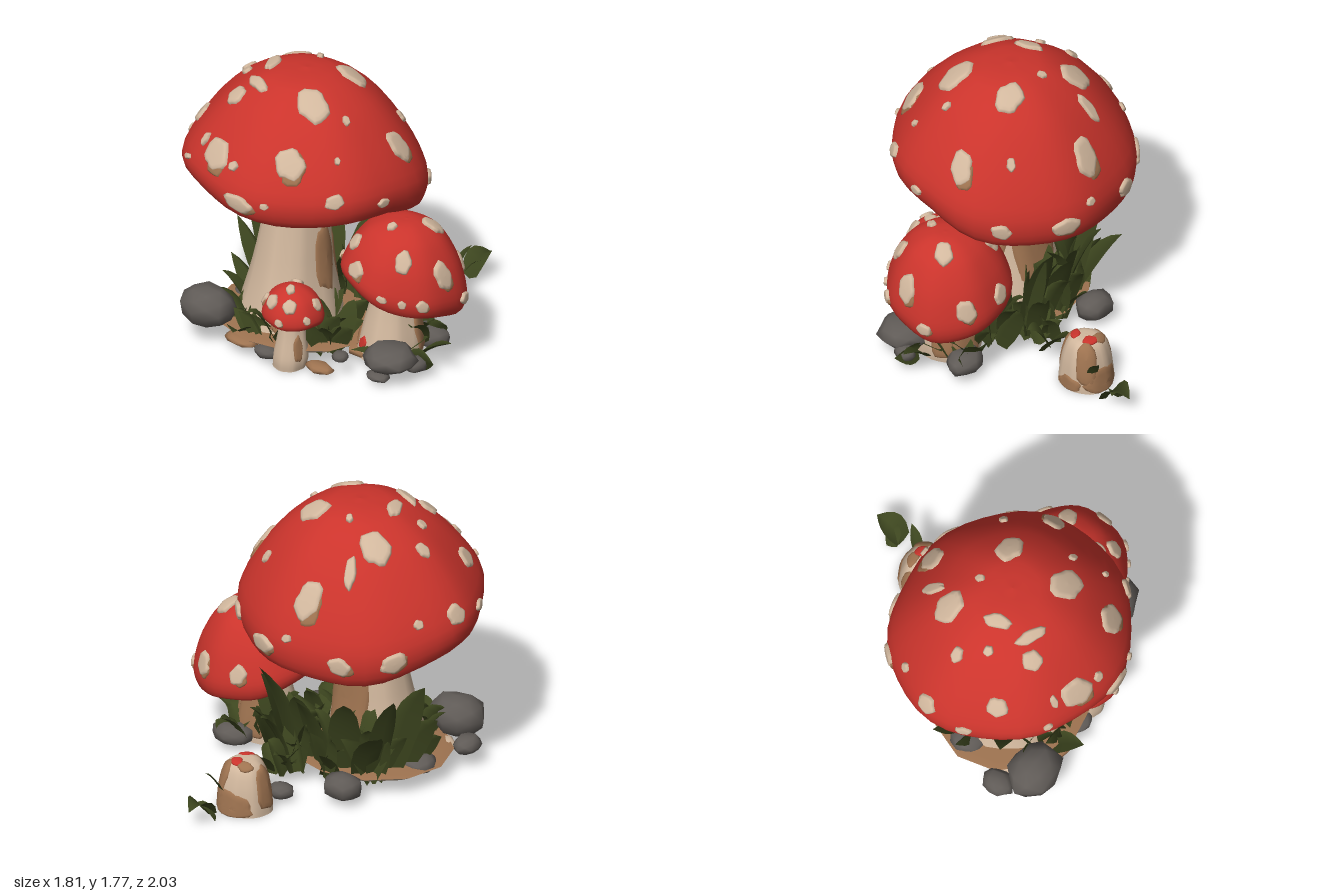
import * as THREE from 'three';
import { mergeGeometries, mergeVertices } from 'three/addons/utils/BufferGeometryUtils.js';
import { ParametricGeometry } from 'three/addons/geometries/ParametricGeometry.js';

const material = (name, color, side = THREE.FrontSide) =>
  Object.assign(new THREE.MeshStandardMaterial({ color, side }), { name });
const TAU = Math.PI * 2;

export function createModel() {
  const red = material('cap red', 0xcb342c);
  const cream = material('flesh cream', 0xd2b89e);
  const brown = material('earthy brown', 0x9e7350);
  const green = material('grass green', 0x3d461f, THREE.DoubleSide);
  const gray = material('stone gray', 0x605b57);

  const model = new THREE.Group();
  model.name = 'mushroomCluster';
  let seed = 7;
  const rand = (a = 0, b = 1) => {
    seed = (seed * 16807) % 2147483647;
    return a + (b - a) * (seed / 2147483647);
  };
  const add = (name, geometry, mat, parent = model) => {
    const mesh = new THREE.Mesh(geometry, mat);
    mesh.name = name;
    parent.add(mesh);
  };
  const surface = (f, slices, stacks) =>
    new ParametricGeometry((u, v, t) => t.copy(f(u, v)), slices, stacks);
  const spline = (pts) => new THREE.SplineCurve(pts.map(([x, y]) => new THREE.Vector2(x, y)));

  // Thin raised patch whose border sinks into a surface; place(dx, dy) gives surface coordinates
  const patch = (f, place, rx, ry, lift) => {
    const p1 = rand(0, 6), p2 = rand(0, 6);
    return surface((s, k) => {
      const a = s * TAU, rho = Math.max(1 - k * k, 0.002);
      const w = rho * (1 + 0.1 * Math.sin(2 * a + p1) + 0.08 * Math.sin(5 * a + p2));
      const [u, v0] = place(rx * w * Math.cos(a), ry * w * Math.sin(a));
      const v = THREE.MathUtils.clamp(v0, 0.002, 0.995), e = 0.002;
      const p = f(u, v);
      const n = f(u + e, v).sub(f(u - e, v)).cross(f(u, v + e).sub(f(u, v - e))).normalize();
      return p.addScaledVector(n, lift * (1 - 1.4 * rho ** 12));
    }, 16, 5);
  };

  // Cap with a tilted wavy rim, gills below and raised spots; tilt = [x, front, back]
  function cap(parent, { x, z, profile, tilt, lean, wave, flick, stemR, stemY, spots }) {
    const curve = spline(profile), length = curve.getLength();
    const f = (u, v) => {
      const p = curve.getPoint(THREE.MathUtils.clamp(v, 0, 1)), a = u * TAU, low = 1 - Math.min(v, 1);
      const r = p.x * (1 + 0.014 * Math.sin(3 * a + 1) + 0.012 * Math.sin(7 * a));
      const px = r * Math.sin(a), pz = r * Math.cos(a) * 0.965;
      const raise = wave * Math.sin(4 * a + 2.4) + flick * Math.max(0, Math.cos(a + 0.65)) ** 8;
      return new THREE.Vector3(x + px + lean[0] * v,
        p.y + low * (tilt[0] * px + (pz > 0 ? tilt[1] : tilt[2]) * pz) + low * low * raise, z + pz + lean[1] * v);
    };
    add('cap', surface(f, 40, 18), red, parent);

    // Gills, stained to a random distance from the stem
    const gill = (u, w) => {
      const a = u * TAU, rim = f(u, 0);
      const p = new THREE.Vector3(x + stemR * Math.sin(a), stemY, z + stemR * Math.cos(a)).lerp(rim, w);
      p.y += Math.sin(Math.PI * w) * stemR * (0.25 + 0.1 * Math.sin(a * 18));
      return p;
    };
    const pale = [], dark = [], n = 36;
    for (let k = 0; k < n; k++) {
      const split = rand(0.12, 0.6);
      dark.push(surface((u, w) => gill((k + u) / n, w * split), 2, 3));
      pale.push(surface((u, w) => gill((k + u) / n, split + w * (1 - split)), 2, 4));
    }
    add('gills', mergeGeometries(pale), cream, parent);
    add('darkGills', mergeGeometries(dark), brown, parent);

    const widest = Math.max(...profile.map((p) => p[0])), discs = [], edges = [];
    for (const [sx, sz, rx, ry = rx] of spots) {
      const r = Math.hypot(sx, sz), u0 = Math.atan2(sx, sz) / TAU;
      let v = 0.995;
      while (v > 0.31 && curve.getPoint(v).x < r) v -= 0.005;
      const s0 = (1 - v) * length, stretch = s0 / curve.getPoint(v).x;
      const place = (shiftX, shiftY) => (dx, dy) => {
        const along = s0 - dy - shiftY, across = (dx + shiftX) * stretch;
        return [u0 + Math.atan2(across, along) / TAU, 1 - Math.hypot(along, across) / length];
      };
      discs.push(patch(f, place(0, 0), rx, ry * 0.92, 0.018));
      // Stained lower edge of the larger spots near the rim
      if (r > widest * 0.8 && rx > widest * 0.1) edges.push(patch(f, place(0.25 * rx, -0.25 * rx), rx * 0.88, ry * 0.88, 0.009));
    }
    add('capSpots', mergeGeometries(discs), cream, parent);
    if (edges.length) add('spotEdges', mergeGeometries(edges), brown, parent);
  }

  // Leaning stem with stained patches [angle, height fraction, width, height, material]
  function stem(parent, { foot, top, profile, stains }) {
    const curve = spline(profile), rise = top[1] - foot[1];
    const f = (u, v) => {
      const p = curve.getPoint(THREE.MathUtils.clamp(v, 0, 1)), a = u * TAU;
      const r = p.x * (1 + 0.035 * Math.sin(3 * a + 2 * v) + 0.015 * Math.sin(8 * a));
      return new THREE.Vector3(foot[0] + (top[0] - foot[0]) * v + r * Math.sin(a),
        foot[1] + rise * p.y, foot[2] + (top[2] - foot[2]) * v + r * Math.cos(a));
    };
    add('stem', surface(f, 28, 14), cream, parent);
    for (const [deg, v, w, h, mat] of stains) {
      const r = curve.getPoint(v).x;
      add('stain', patch(f, (dx, dy) => [deg / 360 + dx / (TAU * r), v + dy / rise], w, h, 0.008), mat, parent);
    }
  }

  const mushroom = (name, capSpec, stemSpec) => {
    const g = new THREE.Group();
    g.name = name;
    model.add(g);
    if (capSpec) cap(g, capSpec);
    stem(g, stemSpec);
  };

  mushroom('largeMushroom', {
    x: -0.17, z: 0.29, tilt: [0, 0.08, 0.25], lean: [0.03, 0], wave: 0.02, flick: 0.1, stemR: 0.17, stemY: 1.1,
    profile: [[0.6, 1.015], [0.69, 1.02], [0.735, 1.12], [0.715, 1.24], [0.6, 1.43], [0.43, 1.62], [0.22, 1.75], [0.001, 1.775]],
    spots: [[-0.28, -0.25, 0.09], [-0.03, -0.61, 0.09], [0.2, -0.19, 0.085], [0.25, 0.22, 0.1], [0.33, 0.51, 0.09],
      [-0.14, 0.645, 0.1], [0.12, 0.73, 0.1], [-0.23, 0.36, 0.06], [-0.53, 0.34, 0.065], [-0.71, -0.05, 0.07],
      [-0.56, -0.48, 0.09], [0.59, -0.17, 0.08], [0.6, 0.41, 0.065], [0.57, -0.48, 0.07], [-0.46, -0.03, 0.04],
      [-0.36, 0.12, 0.03], [-0.2, 0.06, 0.1, 0.035], [-0.14, 0.27, 0.1, 0.035], [-0.22, -0.43, 0.035, 0.08],
      [0.24, -0.7, 0.09], [-0.3, -0.68, 0.08], [-0.7, 0.22, 0.05], [0.73, 0.1, 0.05], [0.43, 0.12, 0.025],
      [0.28, 0.68, 0.03], [-0.38, 0.62, 0.03], [0.02, 0.66, 0.03], [-0.06, -0.2, 0.025], [0.4, -0.4, 0.03],
      [-0.28, 0.58, 0.025, 0.04], [0.52, 0.3, 0.02], [-0.62, -0.3, 0.03], [0.05, -0.72, 0.03]],
  }, {
    foot: [-0.235, 0.06, 0.36], top: [-0.19, 1.16, 0.28],
    profile: [[0.34, 0], [0.305, 0.12], [0.25, 0.34], [0.215, 0.55], [0.18, 0.8], [0.175, 0.9], [0.19, 1]],
    stains: [[75, 0.86, 0.08, 0.13, brown], [45, 0.15, 0.13, 0.07, brown], [135, 0.78, 0.13, 0.18, brown],
      [170, 0.4, 0.15, 0.22, brown], [220, 0.18, 0.17, 0.1, brown], [100, 0.42, 0.08, 0.18, brown]],
  });

  mushroom('mediumMushroom', {
    x: 0.5, z: 0.16, tilt: [-0.24, 0.2, 0.2], lean: [0.04, 0], wave: 0.012, flick: 0.03, stemR: 0.12, stemY: 0.53,
    profile: [[0.31, 0.465], [0.355, 0.48], [0.378, 0.55], [0.36, 0.64], [0.31, 0.76], [0.22, 0.88], [0.1, 0.945], [0.001, 0.955]],
    spots: [[-0.08, 0.35, 0.065], [0.18, 0.22, 0.055], [0.33, 0.02, 0.07], [0.33, 0.2, 0.045], [-0.18, 0.24, 0.05],
      [0.12, -0.1, 0.06], [0.16, -0.32, 0.065], [-0.2, -0.15, 0.06], [0.14, 0.36, 0.03], [0.36, -0.15, 0.045],
      [-0.33, 0.18, 0.04], [0.25, 0.3, 0.03], [0, 0.12, 0.03], [-0.1, -0.35, 0.06]],
  }, {
    foot: [0.45, 0.06, 0.22], top: [0.48, 0.56, 0.18],
    profile: [[0.2, 0], [0.19, 0.2], [0.15, 0.6], [0.13, 0.9], [0.14, 1]],
    stains: [[120, 0.35, 0.08, 0.12, brown], [180, 0.35, 0.13, 0.13, brown], [300, 0.2, 0.07, 0.07, brown], [340, 0.24, 0.035, 0.035, red]],
  });

  mushroom('smallMushroom', {
    x: 0.09, z: 0.665, tilt: [-0.06, 0, 0], lean: [0, 0], wave: 0.006, flick: 0, stemR: 0.065, stemY: 0.345,
    profile: [[0.155, 0.33], [0.175, 0.332], [0.188, 0.365], [0.175, 0.42], [0.135, 0.485], [0.07, 0.53], [0.001, 0.545]],
    spots: [[-0.04, 0.14, 0.04], [0.08, 0.12, 0.04], [-0.13, 0.1, 0.03], [0.15, -0.04, 0.03], [-0.05, -0.1, 0.04],
      [0.05, 0.18, 0.025], [0.02, 0.04, 0.03], [0.17, 0.07, 0.025], [-0.12, -0.12, 0.03]],
  }, {
    foot: [0.075, 0.015, 0.68], top: [0.09, 0.37, 0.665],
    profile: [[0.1, 0], [0.105, 0.2], [0.085, 0.6], [0.07, 1]],
    stains: [[70, 0.5, 0.03, 0.08, brown], [180, 0.4, 0.06, 0.1, brown]],
  });

  // Unopened bulb standing behind the cluster
  mushroom('buttonMushroom', null, {
    foot: [0.08, 0.01, -0.555], top: [0.085, 0.33, -0.555],
    profile: [[0.165, 0], [0.16, 0.2], [0.145, 0.55], [0.115, 0.85], [0.07, 0.98], [0.001, 1]],
    stains: [[180, 0.17, 0.16, 0.06, brown], [90, 0.13, 0.1, 0.04, brown], [275, 0.4, 0.08, 0.1, brown], [135, 0.5, 0.07, 0.1, brown],
      [0, 0.4, 0.1, 0.1, brown], [215, 0.75, 0.05, 0.04, brown], [160, 0.83, 0.05, 0.035, red], [30, 0.8, 0.05, 0.03, red]],
  });

  // Soil bowl under the large stem: pale base, darker top
  const lathe = (pts) => new THREE.LatheGeometry(pts.map(([a, b]) => new THREE.Vector2(a, b)), 12)
    .scale(0.53, 1, 0.46).translate(-0.17, 0, 0.33);
  add('moundBase', lathe([[0, 0.045], [0.55, 0.05], [0.8, 0.07], [1, 0.13]]), cream);
  add('moundTop', lathe([[1, 0.13], [0.9, 0.14], [0.5, 0.15], [0, 0.16]]), brown);

  // Stones and lumps of soil [x, y, z, half sizes, material]
  const stones = [[-0.5, 0.235, 0.76, 0.18, 0.135, 0.15], [-0.68, 0.15, 0.62, 0.08, 0.06, 0.1], [0.63, 0.15, 0.41, 0.17, 0.085, 0.16],
    [0.39, 0.14, 0.58, 0.05, 0.035, 0.05], [0.74, 0.1, 0.3, 0.06, 0.05, 0.07], [-0.36, 0.12, -0.19, 0.12, 0.09, 0.1],
    [-0.04, 0.07, -0.37, 0.08, 0.05, 0.07], [-0.55, 0.13, 0.3, 0.12, 0.06, 0.11], [0.28, 0.05, 0.64, 0.1, 0.03, 0.06, brown],
    [-0.25, 0.09, 0.74, 0.12, 0.03, 0.07, brown], [0.56, 0.11, -0.02, 0.13, 0.07, 0.1], [0.42, 0.08, 0.26, 0.2, 0.04, 0.17, brown],
    [-0.05, 0.08, 0.74, 0.08, 0.04, 0.06], [0.62, 0.06, 0.5, 0.08, 0.03, 0.06], [-0.5, 0.1, 0.6, 0.1, 0.04, 0.1, cream]];
  stones.forEach(([x, y, z, a, b, c, mat = gray], i) => {
    const raw = new THREE.IcosahedronGeometry(1, 1), p = new THREE.Vector3();
    raw.deleteAttribute('normal').deleteAttribute('uv');
    const g = mergeVertices(raw, 0.001), pos = g.attributes.position;
    for (let k = 0; k < pos.count; k++) {
      p.fromBufferAttribute(pos, k);
      p.multiplyScalar(1 + 0.1 * Math.sin(5 * p.x + i) * Math.cos(4 * p.z + 2 * i) + 0.06 * Math.sin(7 * p.y + i));
      p.y = THREE.MathUtils.clamp(p.y, -0.75, 0.9);
      pos.setXYZ(k, p.x * a + x, p.y * b + y, p.z * c + z);
    }
    g.computeVertexNormals();
    add(mat === gray ? 'stone' : 'soilLump', g, mat);
  });

  // Folded grass blade; heading 0 leans to the front, 90 to +x; onEdge stands its width upright
  const blade = (x, z, heading, reach, h, w, { y0 = 0.08, droop = 0.5, onEdge = false } = {}) => {
    const a = heading * Math.PI / 180, dir = new THREE.Vector3(Math.sin(a), 0, Math.cos(a));
    const across = onEdge ? dir.clone().multiplyScalar(-h).setY(reach).normalize() : new THREE.Vector3(dir.z, 0, -dir.x);
    const fold = onEdge ? new THREE.Vector3(dir.z, 0, -dir.x) : new THREE.Vector3(0, 1, 0);
    return surface((u, t) => {
      const half = w * Math.sin(Math.PI * (0.25 + 0.745 * t)) * (u - 0.5);
      return new THREE.Vector3(x, y0 + h * (t * (1 + droop) - droop * t * t), z)
        .addScaledVector(dir, reach * t).addScaledVector(across, half).addScaledVector(fold, 0.5 * Math.abs(half));
    }, 2, 5);
  };
  const onEdge = true;
  const blades = [
    [-0.45, 0.12, 278, 0.26, 0.66, 0.19, { onEdge }], [-0.46, 0.2, 270, 0.31, 0.44, 0.17, { onEdge }],
    [-0.42, 0.05, 250, 0.2, 0.6, 0.18], [-0.46, 0.3, 275, 0.25, 0.26, 0.14, { onEdge }], [-0.4, 0.45, 300, 0.2, 0.28, 0.13],
    [0.08, -0.06, 168, 0.28, 0.74, 0.17], [0.12, -0.04, 172, 0.26, 0.68, 0.15, { onEdge }], [0.02, -0.03, 195, 0.2, 0.55, 0.17],
    [-0.25, -0.02, 215, 0.24, 0.6, 0.19], [-0.12, -0.05, 170, 0.22, 0.55, 0.18], [-0.36, 0, 235, 0.3, 0.42, 0.18],
    [0.2, 0.06, 140, 0.2, 0.5, 0.16], [0.66, 0.2, 100, 0.24, 0.16, 0.1], [0.6, 0.3, 60, 0.22, 0.08, 0.1],
    [0.15, -0.66, 150, 0.13, 0.2, 0.07], [0.17, -0.8, 180, 0.2, 0.1, 0.16, { y0: 0.03, droop: 2.4 }],
    [0.1, -0.83, 120, 0.13, 0.1, 0.09, { y0: 0.02, droop: 1.5 }],
  ].map((b) => blade(...b));
  // Low tufts [x, z, blade count, height]
  for (const [x, z, n, h] of [[0.05, -0.08, 10, 0.34], [-0.2, -0.05, 10, 0.4], [-0.4, 0.05, 8, 0.38], [0.25, 0.02, 9, 0.36],
    [0.2, 0.45, 10, 0.24], [-0.12, 0.62, 10, 0.2], [-0.3, 0.64, 8, 0.24], [0.08, 0.3, 8, 0.25], [0.55, 0.02, 7, 0.2],
    [0.08, -0.2, 8, 0.2], [0.62, 0.33, 5, 0.1]]) {
    for (let k = 0; k < n; k++) {
      blades.push(blade(x + rand(-0.06, 0.06), z + rand(-0.06, 0.06), (k / n) * 360 + rand(0, 30),
        rand(0.1, 0.23), h * rand(0.5, 1.15), rand(0.1, 0.16), { droop: rand(0.3, 1.3), onEdge: rand() < 0.35 }));
    }
  }
  add('grass', mergeGeometries(blades), green);
  return model;
}
